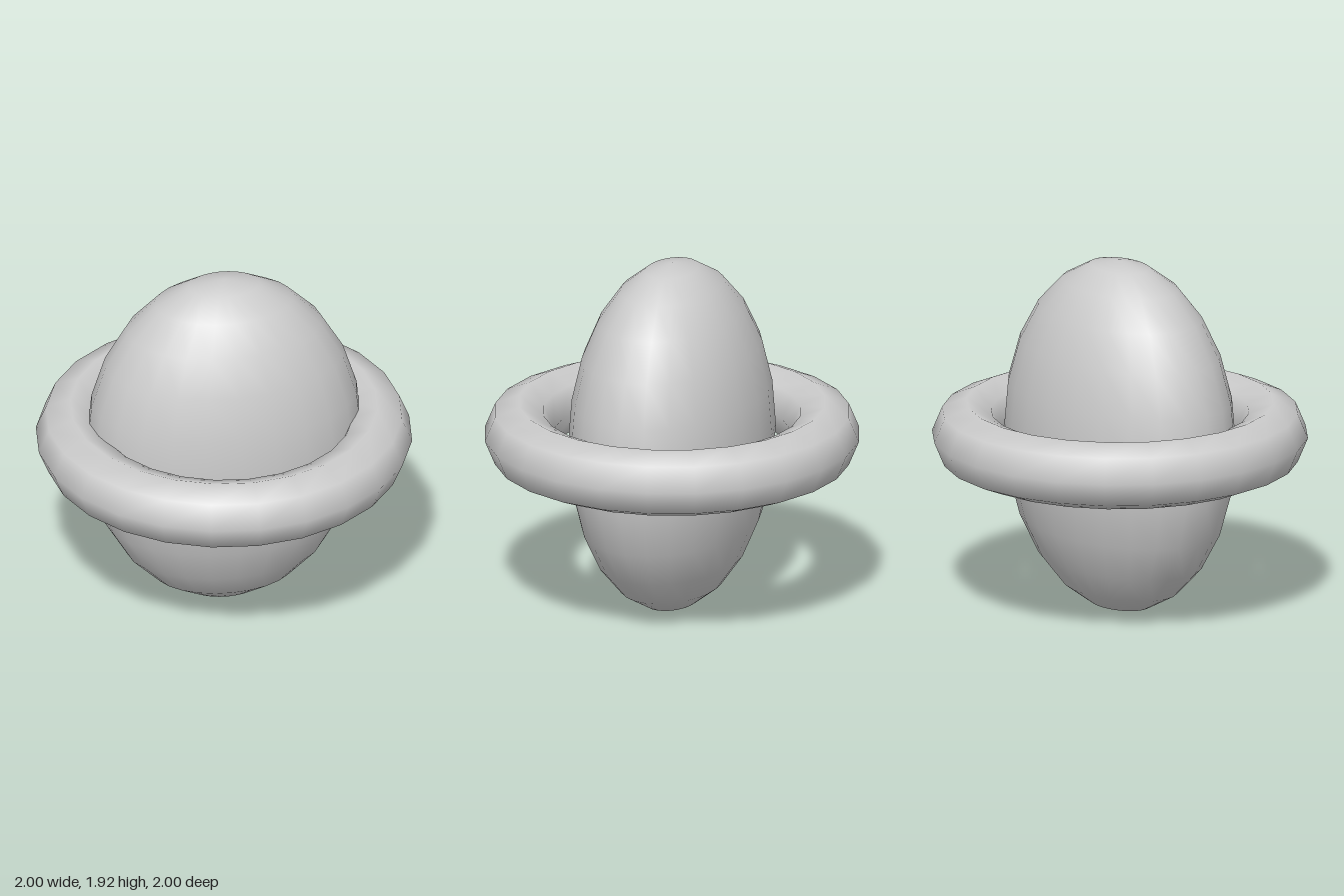
import * as THREE from 'three';

export function createModel() {
  const group = new THREE.Group();
  const material = new THREE.MeshStandardMaterial({ color: 0xcccccc });
  const midHeight = 0.965;

  const add = (name, geometry) => {
    const mesh = new THREE.Mesh(geometry, material);
    mesh.name = name;
    mesh.position.y = midHeight;
    group.add(mesh);
  };

  // Tall egg-like body, wider across x than z
  add('body', new THREE.SphereGeometry(1, 24, 12).scale(0.74, 0.96, 0.51));

  // Level ring around the middle, its inside meeting the body at left and right
  add('ring', new THREE.TorusGeometry(0.815, 0.184, 8, 24).rotateX(-Math.PI / 2));

  return group;
}
